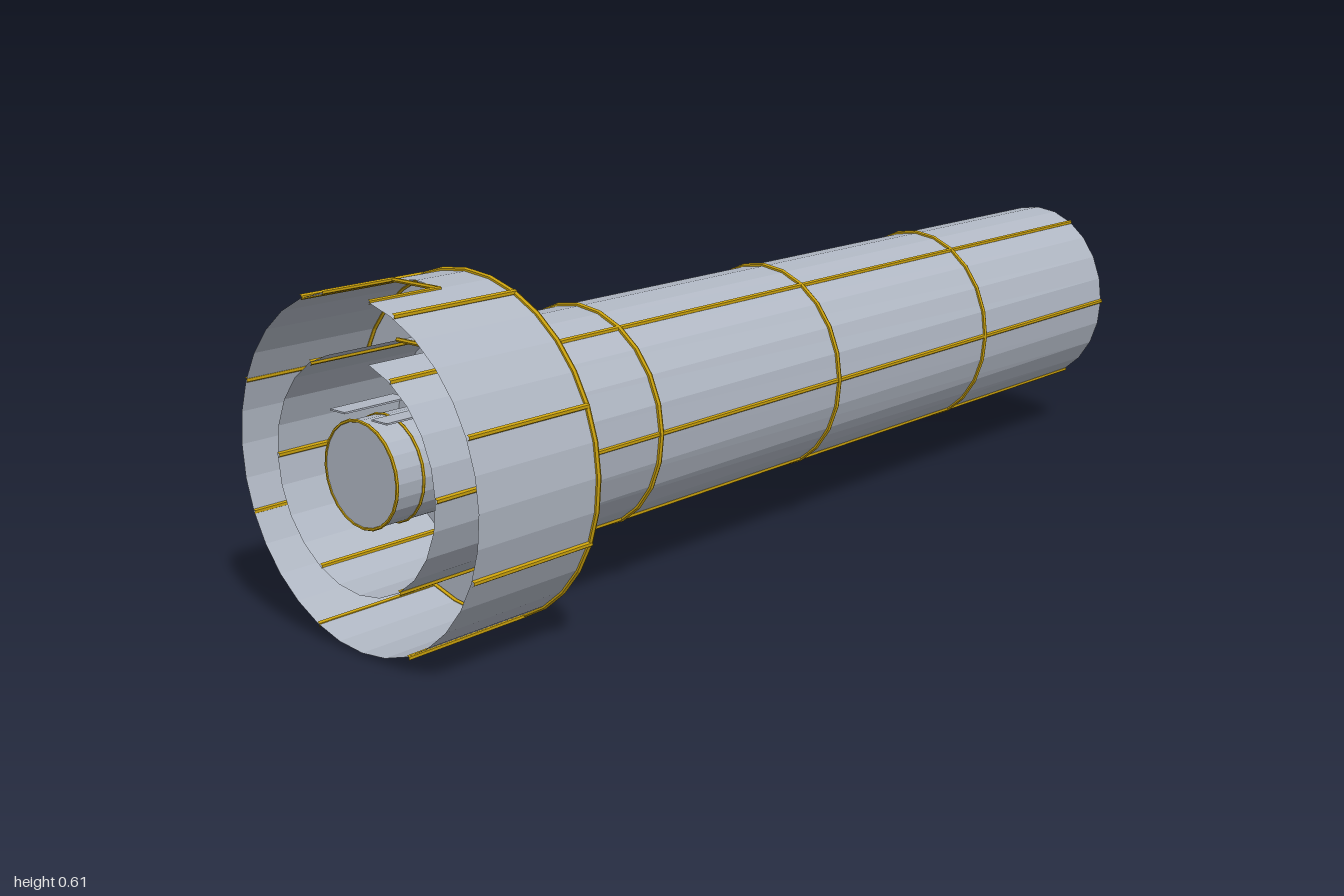
import * as THREE from 'three';

const AXIS_Y = 0.309;

export function createModel() {
  const root = new THREE.Group();
  const model = new THREE.Group();
  model.name = 'nestedTubes';
  model.position.y = AXIS_Y;
  root.add(model);

  const grey = new THREE.MeshStandardMaterial({ color: 0xb0b7c3, flatShading: true, side: THREE.DoubleSide });
  grey.name = 'pale steel';
  const gold = new THREE.MeshStandardMaterial({ color: 0xc9a00c, flatShading: true });
  gold.name = 'dark gold';

  // the long tube narrows sideways only, toward the back
  const narrowing = (z) => 1 - 0.115 * Math.max(0, 0.75 - z) / 1.75;

  const add = (name, geo, mat, taper = false) => {
    if (taper) {
      const p = geo.attributes.position;
      for (let i = 0; i < p.count; i++) p.setX(i, p.getX(i) * narrowing(p.getZ(i)));
      geo.computeVertexNormals();
    }
    const mesh = new THREE.Mesh(geo, mat);
    mesh.name = name;
    model.add(mesh);
    return mesh;
  };

  // open tube along z; skip = half angle left open at the top
  const tube = (r, z0, z1, sides, skip = 0) => {
    const n = skip ? sides - 2 : sides;
    return new THREE.CylinderGeometry(r, r, z1 - z0, n, 1, true, Math.PI + skip, Math.PI * 2 - 2 * skip)
      .rotateX(Math.PI / 2).translate(0, 0, (z0 + z1) / 2);
  };
  // thin rod between two points
  const rod = (a, b, r = 0.005) => {
    const from = new THREE.Vector3(...a), to = new THREE.Vector3(...b);
    return new THREE.TubeGeometry(new THREE.LineCurve3(from, to), 1, r, 6, false);
  };
  const ring = (r, z, sides, t = 0.005) => new THREE.TorusGeometry(r, t, 6, sides).translate(0, 0, z);

  // long body tube, slotted at the front, closed at the back
  const bodySkip = Math.PI / 12;
  add('bodyTube', tube(0.2, -1, 0.855, 24), grey, true);
  add('bodyFront', tube(0.2, 0.855, 1, 24, bodySkip), grey, true);
  add('backCap', new THREE.CircleGeometry(0.2, 24).rotateY(Math.PI).translate(0, 0, -1), grey, true);

  // lengthwise trim and hoops on the body
  for (let i = 0; i < 6; i++) {
    const a = i * Math.PI / 3, x = Math.cos(a) * 0.2, y = Math.sin(a) * 0.2;
    add('bodyTrim', rod([x, y, -1], [x, y, 1]), gold, true);
  }
  for (const z of [-0.52, -0.015, 0.49]) add('bodyHoop', ring(0.201, z, 24), gold, true);

  // wide front collar with a slot in the top
  const collarSkip = Math.PI / 16;
  add('collarBack', tube(0.3, 0.745, 0.855, 32), grey);
  add('collarFront', tube(0.3, 0.855, 1, 32, collarSkip), grey);
  add('collarFloor', new THREE.CircleGeometry(0.3, 32).translate(0, 0, 0.745), grey);
  add('collarHoop', ring(0.301, 0.747, 32), gold);
  for (let i = 0; i < 8; i++) {
    const a = (i + 0.5) * Math.PI / 4, x = Math.cos(a) * 0.302, y = Math.sin(a) * 0.302;
    add('collarTrim', rod([x, y, 0.745], [x, y, 1]), gold);
  }

  // gold edges of the slots
  const slotEdge = (name, r, skip, sides) => {
    const x = Math.sin(skip) * r, y = Math.cos(skip) * r;
    add(name, rod([-x, y, 0.857], [x, y, 0.857], 0.004), gold);
    if (sides) for (const s of [-1, 1]) add(name, rod([s * x, y, 0.855], [s * x, y, 1], 0.004), gold);
  };
  slotEdge('collarSlotEdge', 0.3, collarSkip, true);
  slotEdge('bodySlotEdge', 0.201, bodySkip, false);

  // central core
  add('core', tube(0.09, 0.745, 0.985, 24), grey);
  add('coreCap', new THREE.CircleGeometry(0.09, 24).translate(0, 0, 0.985), grey);
  for (const z of [0.93, 0.984]) add('coreHoop', ring(0.09, z, 24, 0.003), gold);

  // pair of flat plates above the core
  for (const s of [-1, 1]) {
    add('corePlate', new THREE.BoxGeometry(0.038, 0.003, 0.13).translate(s * 0.053, 0.097, 0.92), grey);
  }

  return root;
}
